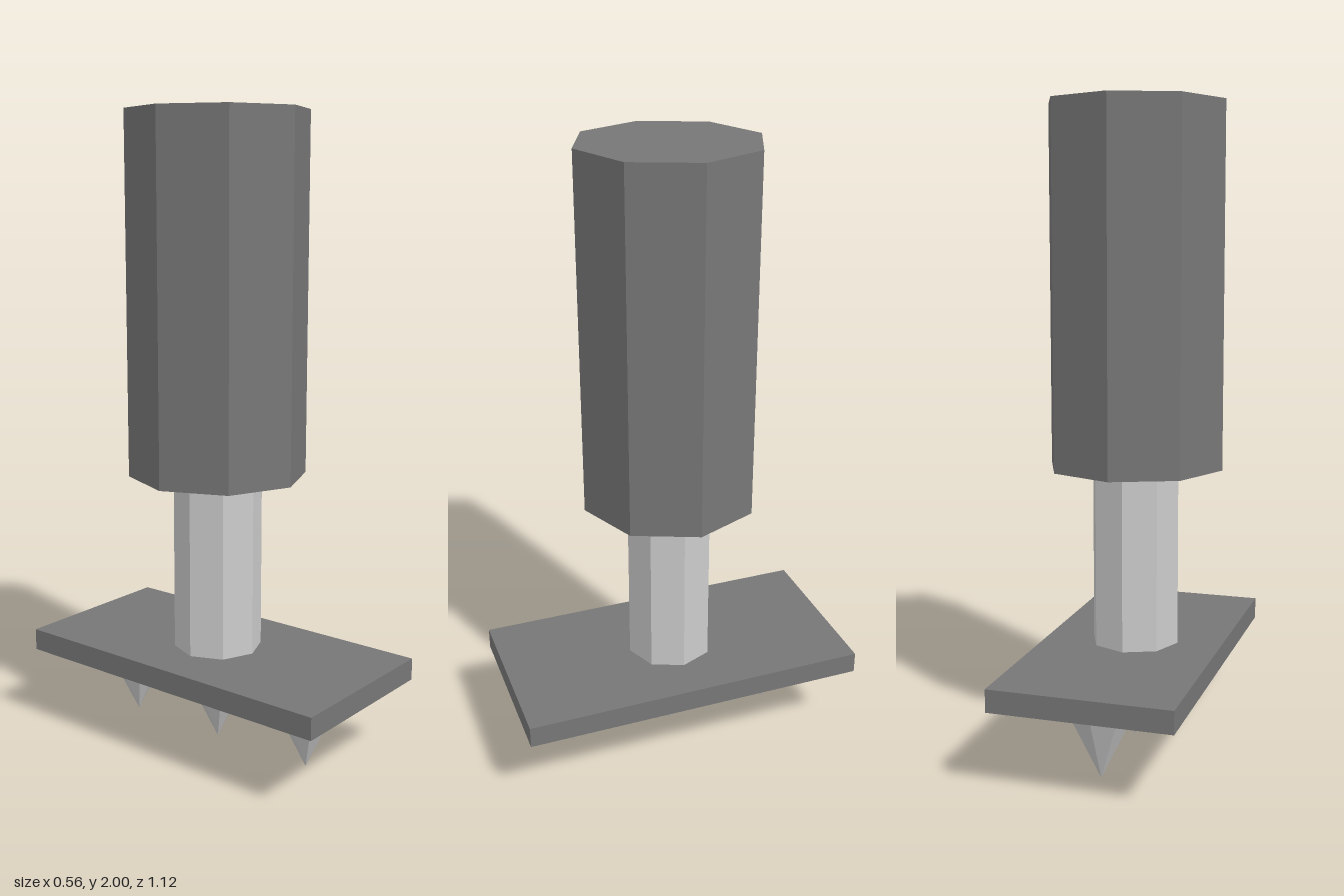
import * as THREE from 'three';

const SIDES = 8;

export function createModel() {
  const model = new THREE.Group();
  model.name = 'spikedStamp';

  const dark = new THREE.MeshStandardMaterial({ color: 0x777777, flatShading: true });
  const light = new THREE.MeshStandardMaterial({ color: 0xcccccc, flatShading: true });

  const add = (name, geometry, material, y, z = 0) => {
    const mesh = new THREE.Mesh(geometry, material);
    mesh.name = name;
    mesh.position.set(0, y, z);
    model.add(mesh);
  };

  // Octagonal grip and the thinner shaft below it
  add('grip', new THREE.CylinderGeometry(0.28, 0.28, 1.115, SIDES), dark, 1.4425);
  add('shaft', new THREE.CylinderGeometry(0.14, 0.14, 0.565, SIDES), light, 0.6025);

  // Flat base plate, long from front to back
  add('plate', new THREE.BoxGeometry(0.56, 0.07, 1.115), dark, 0.285);

  // Row of three spikes pointing down
  const spike = new THREE.ConeGeometry(0.122, 0.25, SIDES).rotateX(Math.PI);
  ['frontSpike', 'middleSpike', 'backSpike'].forEach((name, i) => {
    add(name, spike, light, 0.125, 0.35 * (1 - i));
  });

  return model;
}
